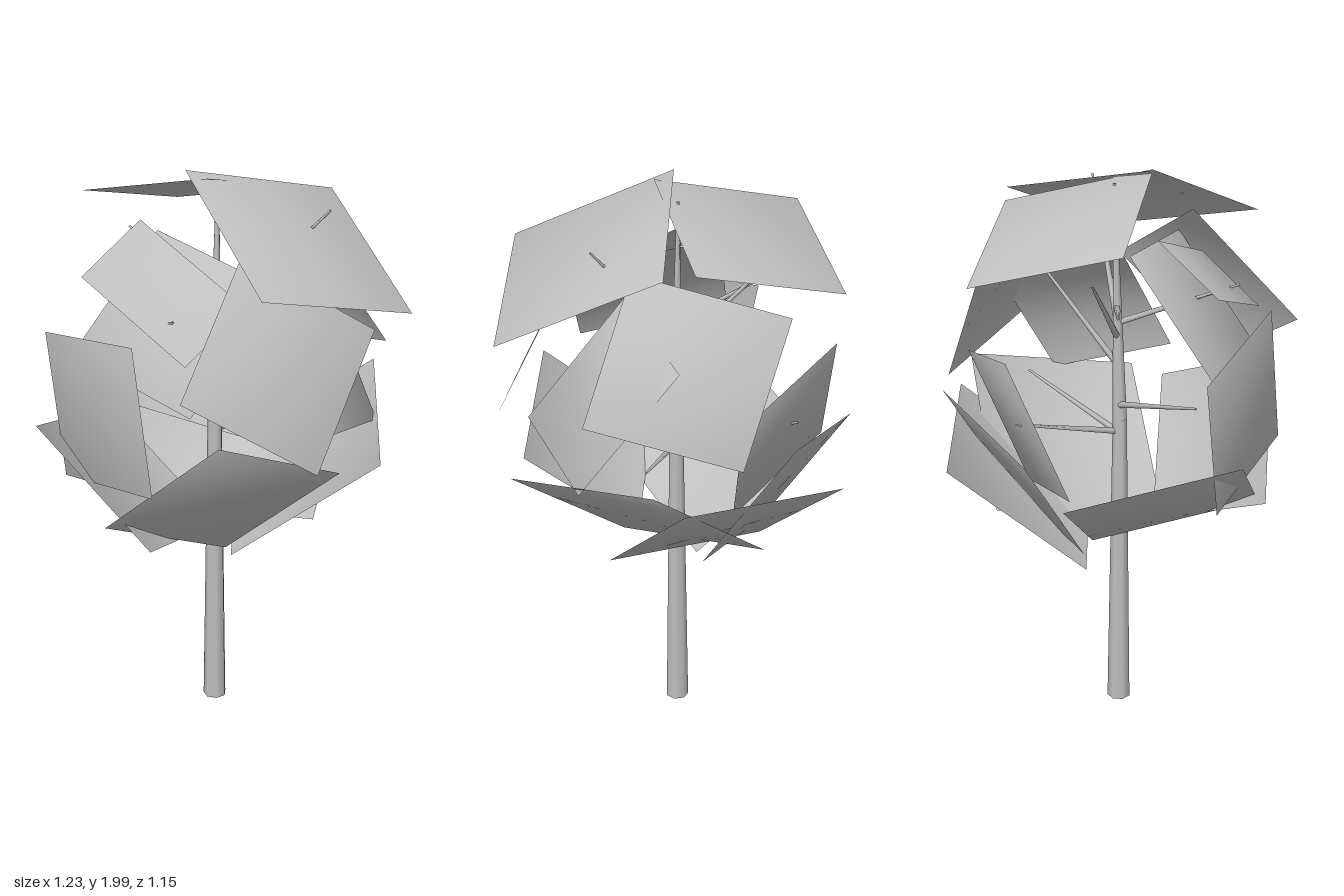
import * as THREE from 'three';

export function createModel() {
  const tree = new THREE.Group();
  tree.name = 'tree';
  const grey = new THREE.MeshStandardMaterial({ color: 0xbfbfbf, side: THREE.DoubleSide });
  grey.name = 'plain grey';
  const V = (p) => new THREE.Vector3(...p);
  const crownCentre = V([-0.02, 1.3, 0]);

  // Tapered round limb between two points
  function limb(name, from, to, r0, r1, sides = 7) {
    const a = V(from), b = V(to);
    const mesh = new THREE.Mesh(new THREE.CylinderGeometry(r1, r0, a.distanceTo(b), sides), grey);
    mesh.position.copy(a).add(b).multiplyScalar(0.5);
    mesh.quaternion.setFromUnitVectors(new THREE.Vector3(0, 1, 0), b.clone().sub(a).normalize());
    mesh.name = name;
    tree.add(mesh);
  }

  // Flat leaf card from a corner and its two neighbours, with rounded crown normals
  function leafCard(name, corner, next, prev) {
    const o = V(corner), e1 = V(next).sub(o), e2 = V(prev).sub(o);
    const middle = o.clone().addScaledVector(e1, 0.5).addScaledVector(e2, 0.5);
    const outward = middle.clone().sub(crownCentre);
    const face = e1.clone().cross(e2).normalize();
    const flip = face.dot(outward) < 0;
    if (flip) face.negate();
    const geo = new THREE.PlaneGeometry(1, 1, 6, 6);
    const pos = geo.attributes.position, nor = geo.attributes.normal;
    for (let i = 0; i < pos.count; i++) {
      const s = pos.getX(i) + 0.5, t = pos.getY(i) + 0.5;
      const p = o.clone().addScaledVector(e1, flip ? t : s).addScaledVector(e2, flip ? s : t);
      pos.setXYZ(i, p.x, p.y, p.z);
      const n = p.sub(crownCentre).normalize().add(face).normalize();
      nor.setXYZ(i, n.x, n.y, n.z);
    }
    const mesh = new THREE.Mesh(geo, grey);
    mesh.name = name;
    tree.add(mesh);
  }

  // Trunk
  limb('trunk', [-0.033, 0, 0.05], [-0.028, 1.1, 0.05], 0.041, 0.025);
  limb('upperTrunk', [-0.028, 1.1, 0.05], [-0.03, 1.93, 0.03], 0.025, 0.005);

  // Branches and twigs
  const twigs = [
    [[-0.03, 1.45, 0.04], [0.29, 1.85, -0.16]],
    [[-0.03, 1.45, 0.04], [0.115, 1.58, 0.42]],
    [[-0.03, 1.4, 0.04], [-0.39, 1.71, 0.08]],
    [[-0.03, 1.5, 0.04], [-0.37, 1.6, 0.16]],
    [[-0.03, 1.3, 0.04], [0.02, 1.62, -0.26]],
    [[-0.03, 1.15, 0.04], [-0.3, 1.3, 0.4]],
    [[-0.03, 1.05, 0.04], [-0.4, 1.2, -0.18]],
    [[-0.03, 1.05, 0.04], [0.15, 1.15, -0.35]],
  ];
  twigs.forEach(([a, b], i) => limb('twig' + (i + 1), a, b, 0.012, 0.004, 5));

  // Crown
  leafCard('topLeftLeaf', [0.61, 1.567, -0.19], [0.467, 1.725, 0.38], [0.1, 1.834, -0.4]);
  leafCard('topRightLeaf', [-0.516, 1.7, -0.29], [-0.01, 1.825, -0.36], [-0.477, 1.847, 0.213]);
  leafCard('frontLeaf', [-0.41, 1.43, 0.466], [0.07, 1.52, 0.542], [-0.317, 0.94, 0.482]);
  leafCard('upperFrontLeaf', [-0.245, 1.657, 0.45], [0.22, 1.47, 0.46], [-0.19, 1.81, 0.23]);
  leafCard('innerFrontLeaf', [-0.29, 1.38, 0.46], [0.24, 1.3, 0.46], [-0.2, 1.75, 0.14]);
  leafCard('lowerFrontRightLeaf', [0.103, 0.8, 0.51], [-0.356, 1.14, 0.575], [-0.087, 0.644, -0.03]);
  leafCard('lowerFrontLeftLeaf', [0.372, 1.24, 0.472], [0.505, 1.045, 0.03], [-0.04, 0.865, 0.574]);
  leafCard('leftLeaf', [0.504, 1.5, -0.135], [0.57, 1.124, 0.224], [0.24, 1.78, 0.216]);
  leafCard('backLeftLeaf', [0.37, 1.08, -0.335], [0.05, 1.52, -0.41], [0.48, 1.18, 0.07]);
  leafCard('lowerBackLeftLeaf', [0.567, 1.045, -0.108], [0.165, 1.177, -0.578], [0.14, 0.665, 0.155]);
  leafCard('backLeaf', [-0.133, 1.22, -0.535], [0.36, 1.35, -0.39], [-0.33, 1.65, -0.335]);
  leafCard('backRightLeaf', [-0.53, 1.47, -0.16], [-0.15, 1.33, -0.45], [-0.55, 1.03, 0.06]);
  leafCard('innerBackRightLeaf', [-0.615, 1.16, -0.07], [-0.32, 1.25, -0.475], [-0.33, 0.72, 0.03]);
  leafCard('lowerBackRightLeaf', [-0.51, 1.045, -0.385], [0.064, 1.1, -0.577], [-0.33, 0.665, 0.035]);

  return tree;
}
